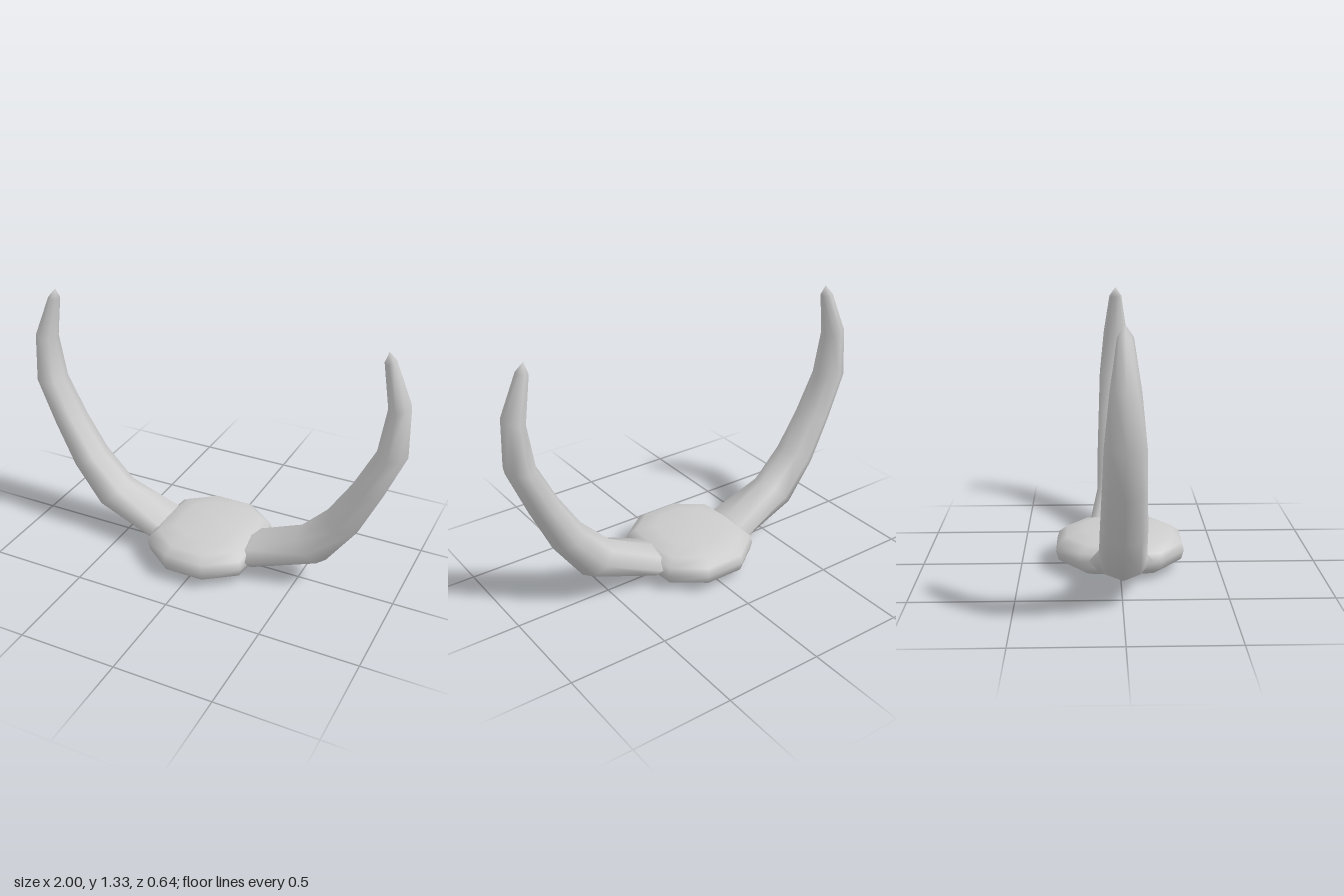
import * as THREE from 'three';

// Smooth skin over closed rings of points; the ends are capped with fans
function loft(rings, startTip, endTip, flip) {
  const n = rings[0].length, pos = [], idx = [];
  rings.forEach(r => r.forEach(p => pos.push(...p)));
  const a = pos.length / 3;
  pos.push(...startTip, ...endTip);
  const tri = (i, j, k) => (flip ? idx.push(i, k, j) : idx.push(i, j, k));
  const last = (rings.length - 1) * n;
  for (let j = 0; j < n; j++) {
    const k = (j + 1) % n;
    for (let i = 0; i < last; i += n) {
      tri(i + j, i + k, i + n + k);
      tri(i + j, i + n + k, i + n + j);
    }
    tri(a, k, j);
    tri(a + 1, last + j, last + k);
  }
  const g = new THREE.BufferGeometry();
  g.setAttribute('position', new THREE.Float32BufferAttribute(pos, 3));
  g.setIndex(idx);
  g.computeVertexNormals();
  return g;
}

export function createModel() {
  const group = new THREE.Group();
  const material = new THREE.MeshStandardMaterial({ color: 0xcccccc });
  const add = (name, geometry) => {
    const mesh = new THREE.Mesh(geometry, material);
    mesh.name = name;
    group.add(mesh);
  };

  // Flattened pebble-like base: outline (x, z) scaled at each height
  const outline = [[0.105, 0.32], [0.265, 0.2], [0.285, 0], [0.265, -0.2], [0.105, -0.32],
    [-0.105, -0.32], [-0.265, -0.2], [-0.285, 0], [-0.265, -0.2 + 0.4], [-0.105, 0.32]];
  const levels = [[0.004, 0.5], [0.022, 0.8], [0.055, 0.96], [0.1, 1],
    [0.14, 0.965], [0.172, 0.83], [0.194, 0.55]];
  add('base', loft(levels.map(([y, s]) => outline.map(([x, z]) => [x * s, y, z * s])),
    [0, 0, 0], [0, 0.2, 0], false));

  // Horn sections: outer x, y, inner x, y, half depth
  const sections = [
    [0.18, 0.04, 0.18, 0.16, 0.14],
    [0.29, 0.042, 0.25, 0.178, 0.155],
    [0.64, 0.15, 0.485, 0.3, 0.11],
    [0.79, 0.36, 0.635, 0.45, 0.106],
    [0.9, 0.595, 0.75, 0.63, 0.098],
    [0.998, 0.83, 0.85, 0.83, 0.09],
    [0.99, 1.08, 0.883, 1.055, 0.066],
    [0.905, 1.285, 0.847, 1.275, 0.034],
  ];
  const sides = 8;
  for (const [name, s] of [['leftHorn', 1], ['rightHorn', -1]]) {
    const rings = sections.map(([ox, oy, ix, iy, d]) => Array.from({ length: sides }, (_, j) => {
      const t = (j / sides) * Math.PI * 2, c = Math.cos(t) / 2;
      return [s * ((ox + ix) / 2 + (ox - ix) * c), (oy + iy) / 2 + (oy - iy) * c, -d * Math.sin(t)];
    }));
    add(name, loft(rings, [s * 0.18, 0.1, 0], [s * 0.865, 1.33, 0], s < 0));
  }
  return group;
}
